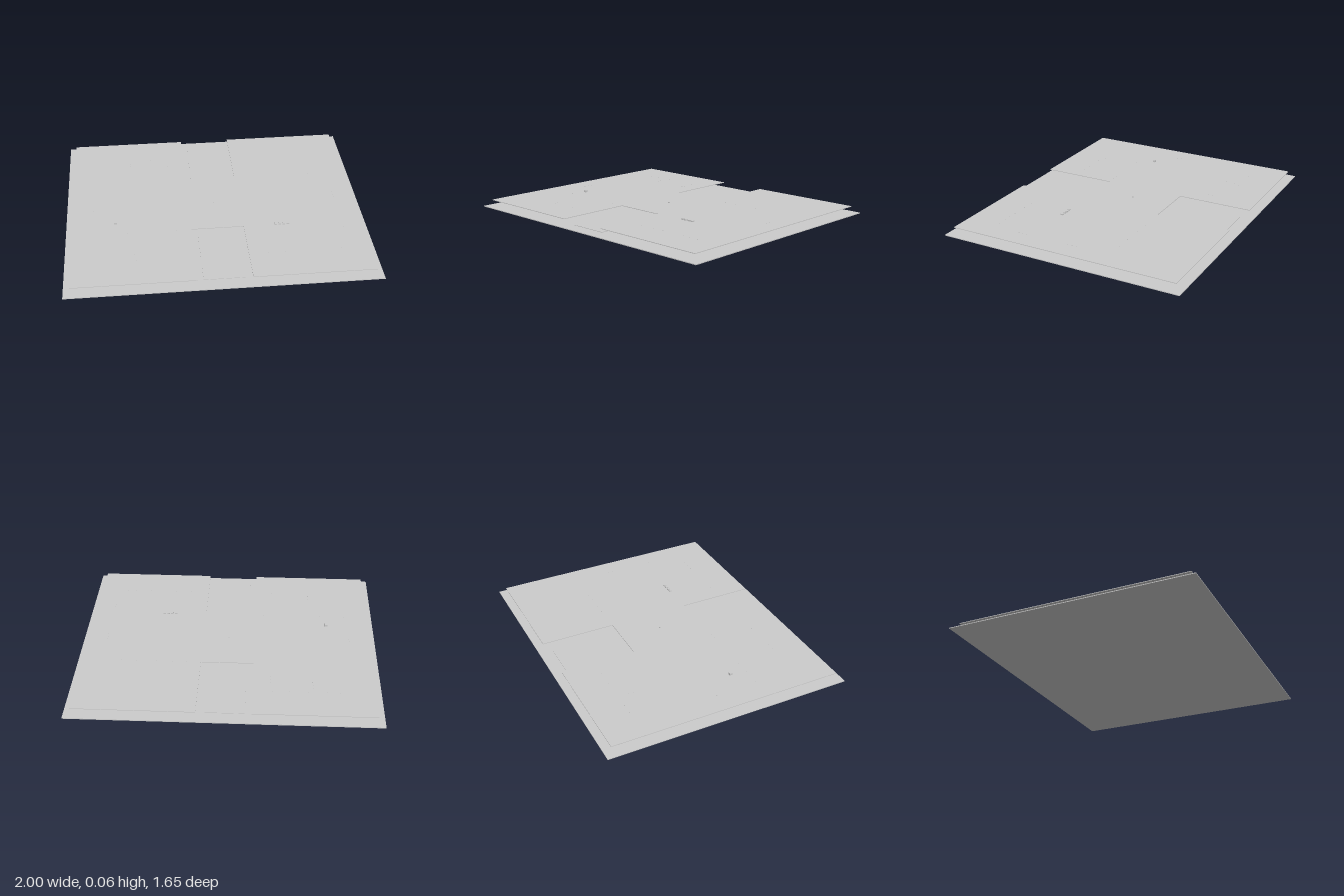
import * as THREE from 'three';

const material = new THREE.MeshStandardMaterial({ color: 0xcccccc, flatShading: true });
const PLATE_BOTTOM = 0.046;
const PLATE_TOP = 0.05;

// Box resting on height y, centred on x and z
function addBox(parent, name, width, height, depth, x, y, z) {
  const mesh = new THREE.Mesh(new THREE.BoxGeometry(width, height, depth), material);
  mesh.name = name;
  mesh.position.set(x, y + height / 2, z);
  parent.add(mesh);
}

// H-shaped plate: a rectangle with a notch in the front and back edges
function createPlate() {
  const w = 0.955, d = 0.783, notchX = 0.174, notchZ = 0.277;
  const half = [[-w, d], [-notchX, d], [-notchX, notchZ], [notchX, notchZ], [notchX, d], [w, d]];
  const outline = [...half, ...half.map(([x, z]) => [-x, -z])];
  const shape = new THREE.Shape(outline.map(([x, z]) => new THREE.Vector2(x, z)));
  const geometry = new THREE.ExtrudeGeometry(shape, { depth: PLATE_TOP - PLATE_BOTTOM, bevelEnabled: false });
  geometry.rotateX(-Math.PI / 2);
  geometry.translate(0, PLATE_BOTTOM, 0);
  const mesh = new THREE.Mesh(geometry, material);
  mesh.name = 'upperPlate';
  return mesh;
}

export function createModel() {
  const model = new THREE.Group();
  model.name = 'layeredBoard';

  // Base sheet and the two panels that show in the notches
  addBox(model, 'baseSheet', 2, 0.005, 1.65, 0, 0, 0);
  for (const side of [1, -1]) {
    addBox(model, 'notchPanel', 0.262, 0.003, 0.458, 0, 0.005, side * 0.506);
  }

  model.add(createPlate());

  // Blocks on top of the plate
  addBox(model, 'singleBlock', 0.018, 0.014, 0.018, -0.67, PLATE_TOP, 0.172);
  for (let i = 0; i < 4; i++) {
    addBox(model, 'rowBlock', 0.017, 0.008, 0.017, 0.388 + i * 0.027, PLATE_TOP, 0.275);
  }
  addBox(model, 'centrePin', 0.008, 0.006, 0.008, 0, PLATE_TOP, 0);

  // Tiny pins in rows along x
  const pins = new THREE.Group();
  pins.name = 'pins';
  const rows = [
    [0.28, [-0.8, -0.69, -0.63, -0.59, -0.27, -0.23]],
    [0.56, [-0.54, -0.5, -0.36, -0.29, 0.3, 0.41, 0.49, 0.6, 0.66, 0.71, 0.77]],
    [-0.28, [0.8, 0.7, 0.6, 0.53, 0.47, 0.43, 0.36, 0.27]],
    [-0.56, [-0.3, -0.41, -0.53, -0.65, -0.73]],
  ];
  for (const [z, xs] of rows) {
    for (const x of xs) addBox(pins, 'pin', 0.003, 0.002, 0.003, x, PLATE_TOP, z);
  }

  // Groups of three pins along z
  for (const [x, z] of [[-0.29, -0.44], [0.83, 0.34], [0.83, -0.02], [-0.56, -0.49], [-0.82, 0.02], [-0.55, 0.53]]) {
    for (const step of [-0.03, 0, 0.03]) addBox(pins, 'pin', 0.003, 0.002, 0.003, x, PLATE_TOP, z + step);
  }
  model.add(pins);
  return model;
}
